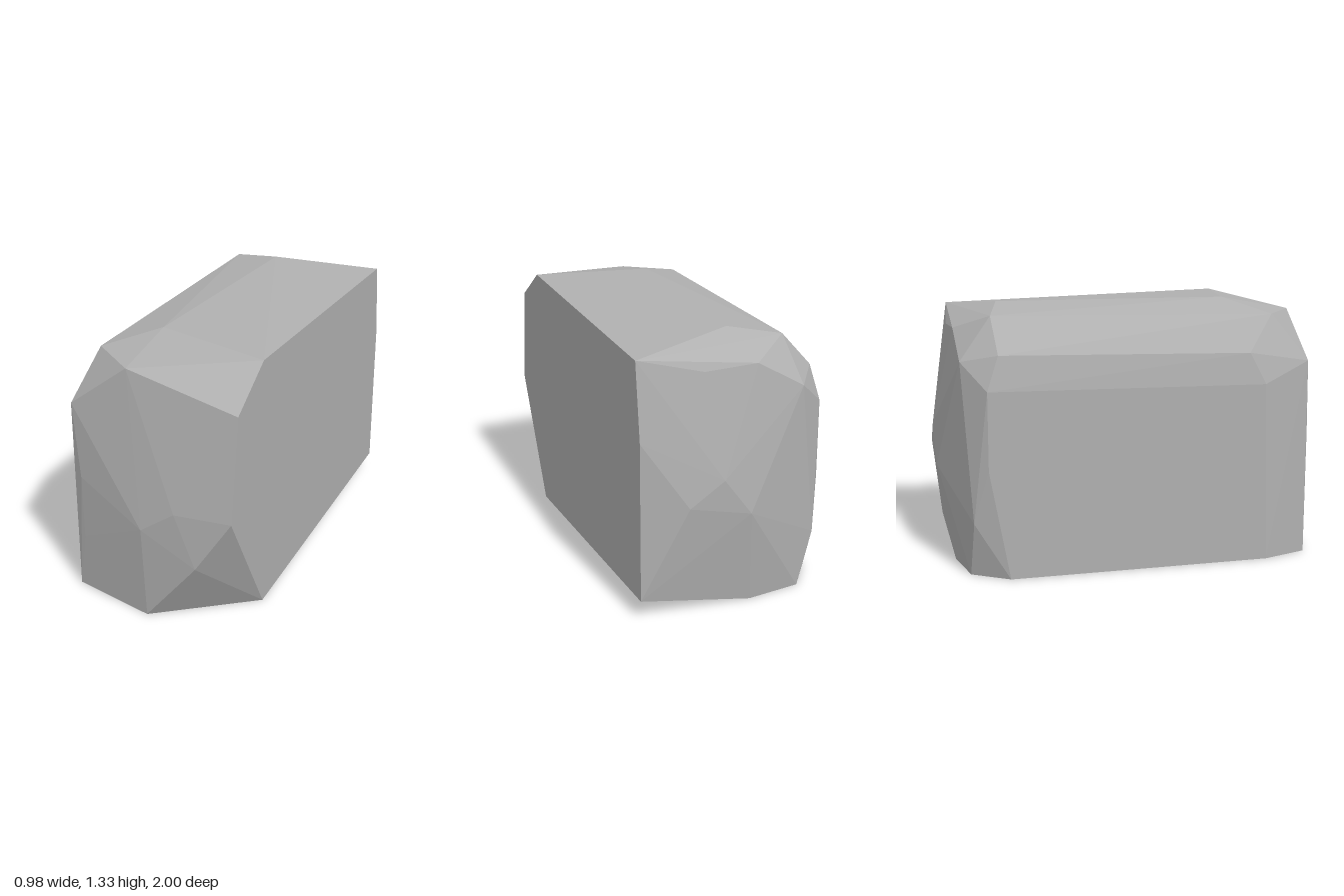
import * as THREE from 'three';
import { ConvexGeometry } from 'three/addons/geometries/ConvexGeometry.js';

// Corner points of the chipped block, grouped by side
const rightSide = [
  [0.49, 1.15, 0.91], [0.49, 0.63, 0.98], [0.49, 0, 0.62], [0.49, 0.1, -0.92],
  [0.49, 0.9, -0.92], [0.49, 1.28, -0.87], [0.49, 1.32, 0.64],
];
const base = [
  [0.03, 0, 0.98], [-0.41, 0, 0.88], [-0.49, 0, 0.64],
  [-0.49, 0, -0.7], [-0.36, 0, -0.88], [-0.08, 0, -0.92],
];
const front = [
  [0.02, 0.49, 1], [0.2, 0.62, 1], [0.31, 0.35, 1],
  [-0.36, 0.64, 0.905], [-0.36, 0.3, 0.9], [-0.41, 1.02, 0.88], [-0.1, 1.26, 0.88],
];
const back = [
  [0.27, 0.57, -0.99], [0.1, 0.69, -1], [-0.04, 0.5, -1], [-0.44, 0.28, -0.87],
  [-0.34, 1.07, -0.91], [-0.1, 1.21, -0.91], [0.17, 1.2, -0.91],
];
const leftSide = [
  [-0.49, 0.92, 0.62], [-0.49, 0.94, -0.8], [-0.49, 0.55, -0.8],
  [-0.47, 1.08, 0.54], [-0.46, 1.11, -0.74],
];
const top = [
  [-0.34, 1.26, 0.7], [-0.1, 1.33, 0.51], [-0.04, 1.33, -0.68], [-0.3, 1.285, -0.75],
];

export function createModel() {
  const stone = new THREE.MeshStandardMaterial({ color: 0xb0b0b0, flatShading: true });
  stone.name = 'grey stone';

  // Faceted stone block: the convex skin around all its corners
  const corners = [rightSide, base, front, back, leftSide, top].flat()
    .map((p) => new THREE.Vector3(...p));
  const block = new THREE.Mesh(new ConvexGeometry(corners), stone);
  block.name = 'stoneBlock';

  const model = new THREE.Group();
  model.name = 'chippedStone';
  model.add(block);
  return model;
}
